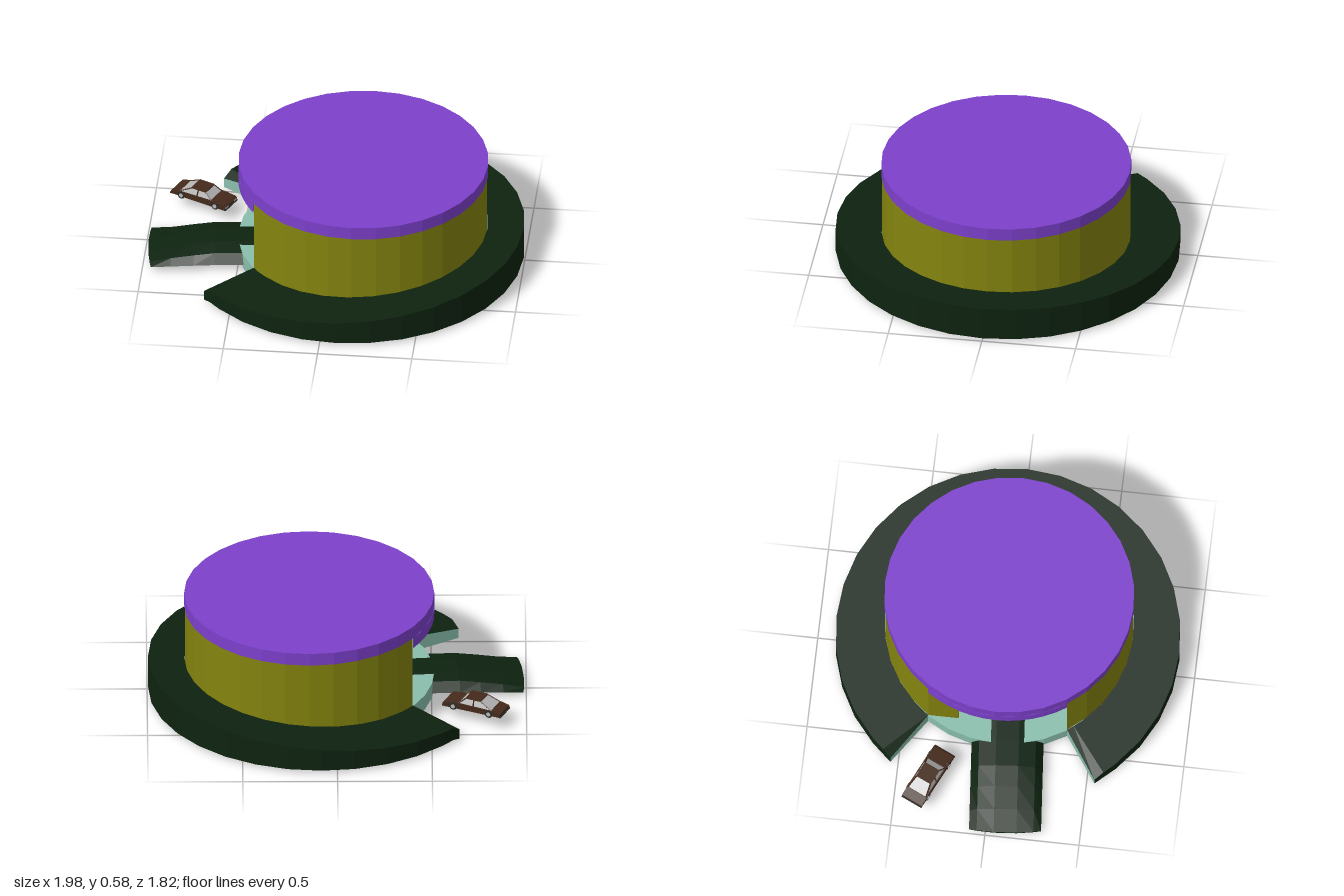
import * as THREE from 'three';

const mat = (name, color) => {
  const m = new THREE.MeshStandardMaterial({ color, flatShading: true, side: THREE.DoubleSide });
  m.name = name;
  return m;
};
const rad = THREE.MathUtils.degToRad;
const polar = (cx, r, deg, y) => [cx + r * Math.cos(rad(deg)), y, r * Math.sin(rad(deg))];

const HALL = 0.145, HALL_R = 0.66;   // hall centre x and radius
const BANK = 0.085, BANK_R = 0.91;   // outer bank centre x and radius
const END = 146;                     // half angle of the wall arc
const slope = (x) => 0.1 + (x + 0.45) * 0.069;

// Surface through rows of points
function grid(rows) {
  const n = rows[0].length, index = [];
  for (let i = 0; i < rows.length - 1; i++) {
    for (let j = 0; j < n - 1; j++) {
      const a = i * n + j, b = a + n;
      index.push(a, a + 1, b, b, a + 1, b + 1);
    }
  }
  const g = new THREE.BufferGeometry();
  g.setAttribute('position', new THREE.Float32BufferAttribute(rows.flat(2), 3));
  g.setIndex(index);
  g.computeVertexNormals();
  return g;
}

export function createModel() {
  const model = new THREE.Group();
  const purple = mat('roofPurple', 0x7d40cc);
  const olive = mat('wallOlive', 0x84840f);
  const green = mat('bankGreen', 0x0e2310);
  const teal = mat('floorTeal', 0x8abfac);
  const brown = mat('carBrown', 0x452a1b);
  const light = mat('lightGrey', 0xb8b8b8);
  const dark = mat('tyreDark', 0x2a2a2a);

  const add = (parent, name, geometry, material, x = 0, y = 0, z = 0) => {
    const m = new THREE.Mesh(geometry, material);
    m.name = name;
    m.position.set(x, y, z);
    parent.add(m);
    return m;
  };

  // Roof disc and the lowered lip over the entrance
  add(model, 'roof', new THREE.CylinderGeometry(HALL_R, HALL_R, 0.07, 32), purple, HALL, 0.545, 0);
  const lip = new THREE.Shape();
  lip.absarc(HALL, 0, HALL_R, rad(END), rad(360 - END), false);
  const lipGeo = new THREE.ExtrudeGeometry(lip, { depth: 0.06, bevelEnabled: false, curveSegments: 6 });
  lipGeo.rotateX(Math.PI / 2);
  add(model, 'entranceLip', lipGeo, purple, 0, 0.511, 0);

  // Floor
  add(model, 'floor', new THREE.CylinderGeometry(HALL_R, HALL_R, 0.085, 32), teal, HALL, 0.0575, 0);

  // Curved wall and the short flat wall beside the entrance
  const wall = [];
  for (let i = 0; i <= 26; i++) {
    const a = -END + (2 * END * i) / 26;
    wall.push([polar(HALL, 0.656, a, 0.1), polar(HALL, 0.656, a, 0.51)]);
  }
  add(model, 'wall', grid(wall), olive);
  add(model, 'entranceWall', new THREE.BoxGeometry(0.012, 0.41, 0.16), olive, -0.393, 0.305, -0.287);

  // Sloping bank around the hall, tapered at both ends
  const angles = [-143.5, -140];
  for (let a = -135; a <= 135; a += 11.25) angles.push(a);
  angles.push(140, 143.5);
  const top = [], under = [], caps = [];
  for (const a of angles) {
    const tip = Math.abs(a) > 142;
    const low = tip ? 0 : 0.015;
    const outer = polar(BANK, BANK_R, a, low);
    const inner = polar(HALL, HALL_R - 0.002, (a * END) / 143.5, 0.015);
    const raise = ([x, , z]) => [x, tip ? 0.055 : slope(x), z];
    const innerTop = [inner[0], slope(inner[0]), inner[2]];
    top.push([outer, raise(outer), innerTop]);
    under.push([outer, inner]);
    if (tip) caps.push([[outer, raise(outer)], [inner, innerTop]]);
  }
  add(model, 'bank', grid(top), green);
  add(model, 'bankUnderside', grid(under), teal);
  caps.forEach((c) => add(model, 'bankEnd', grid(c), teal));
  add(model, 'undersidePatch', grid([-50, -38].map((a) =>
    [polar(BANK, 0.75, a, 0.012), polar(BANK, 0.89, a, 0.012)])), green);

  // Raised bank inside the hall
  const inside = [];
  for (let i = 0; i <= 24; i++) {
    const a = -117 + (234 * i) / 24;
    const p = polar(HALL, 0.43, a, 0.1), q = polar(HALL, 0.65, a, 0.1);
    inside.push([p, [p[0], slope(p[0]), p[2]], [q[0], slope(q[0]), q[2]]]);
  }
  add(model, 'innerBank', grid(inside), green);

  // Entrance drive: shallow arch lofted along its length, [x, base, top]
  const drive = new THREE.Group();
  drive.name = 'drive';
  const stations = [[-0.255, 0.022, 0.033], [-0.14, 0.027, 0.062], [-0.02, 0.033, 0.085],
    [0.09, 0.038, 0.103], [0.24, 0.04, 0.105], [0.36, 0.04, 0.105]];
  const across = [[-0.19, 0], [-0.15, 0.75], [-0.06, 1], [0.06, 1], [0.15, 0.75], [0.19, 0]];
  const bow = (i, z) => (i === 0 ? 0.45 * z * z - 0.006 : 0);
  add(drive, 'driveTop', grid(stations.map(([x, b, t], i) =>
    across.map(([z, h]) => [x + bow(i, z), b + (t - b) * h, z]))), green);
  add(drive, 'driveUnderside', grid(stations.map(([x, b], i) =>
    [-0.19, 0, 0.19].map((z) => [x + bow(i, z), b, z]))), light);
  const [x0, b0, t0] = stations[0];
  add(drive, 'driveEdge', grid(across.map(([z, h]) =>
    [[x0 + bow(0, z), b0, z], [x0 + bow(0, z), b0 + (t0 - b0) * h, z]])), green);
  drive.position.set(-0.725, 0, 0.083);
  drive.rotation.y = 0.085;
  model.add(drive);

  // Parked car, nose along its own +x
  const car = new THREE.Group();
  car.name = 'car';
  const side = new THREE.Shape([[-0.167, 0.075], [-0.165, 0.092], [-0.115, 0.104], [0.08, 0.107],
    [0.155, 0.099], [0.167, 0.09], [0.165, 0.072]].map((p) => new THREE.Vector2(...p)));
  add(car, 'carBody', new THREE.ExtrudeGeometry(side, { depth: 0.122, bevelEnabled: false }), brown, 0, 0, -0.061);

  // Cabin glass narrows towards the roof
  const cabin = new THREE.BoxGeometry(1, 1, 1);
  const pos = cabin.attributes.position;
  for (let i = 0; i < pos.count; i++) {
    const up = pos.getY(i) > 0, fore = pos.getX(i) > 0;
    pos.setXYZ(i, up ? (fore ? 0.038 : -0.048) : (fore ? 0.08 : -0.115),
      up ? 0.137 : 0.103, Math.sign(pos.getZ(i)) * (up ? 0.043 : 0.056));
  }
  cabin.computeVertexNormals();
  add(car, 'carGlass', cabin, light);
  add(car, 'carRoof', new THREE.BoxGeometry(0.09, 0.005, 0.09), brown, -0.005, 0.1385, 0);
  for (const s of [-1, 1]) {
    // Pillars, from base x to roof x
    for (const [xa, xb] of [[0.08, 0.038], [-0.115, -0.048], [-0.01, -0.007]]) {
      const path = new THREE.LineCurve3(new THREE.Vector3(xa, 0.103, s * 0.056),
        new THREE.Vector3(xb, 0.137, s * 0.043));
      add(car, 'carPillar', new THREE.TubeGeometry(path, 1, 0.004, 4), brown);
    }
    // Wheels and hubs
    for (const x of [-0.102, 0.104]) {
      add(car, 'wheel', new THREE.CylinderGeometry(0.021, 0.021, 0.018, 12).rotateX(Math.PI / 2),
        dark, x, 0.084, s * 0.055);
      add(car, 'hub', new THREE.CylinderGeometry(0.012, 0.012, 0.004, 10).rotateX(Math.PI / 2),
        light, x, 0.084, s * 0.065);
    }
    // Lamps and bumpers
    add(car, 'headlamp', new THREE.BoxGeometry(0.004, 0.008, 0.025), light, 0.167, 0.086, s * 0.042);
    add(car, 'bumper', new THREE.BoxGeometry(0.006, 0.008, 0.122), dark, s * 0.167, 0.077, 0);
  }
  car.position.set(-0.733, 0, -0.33);
  car.rotation.y = -0.44;
  model.add(car);

  return model;
}
